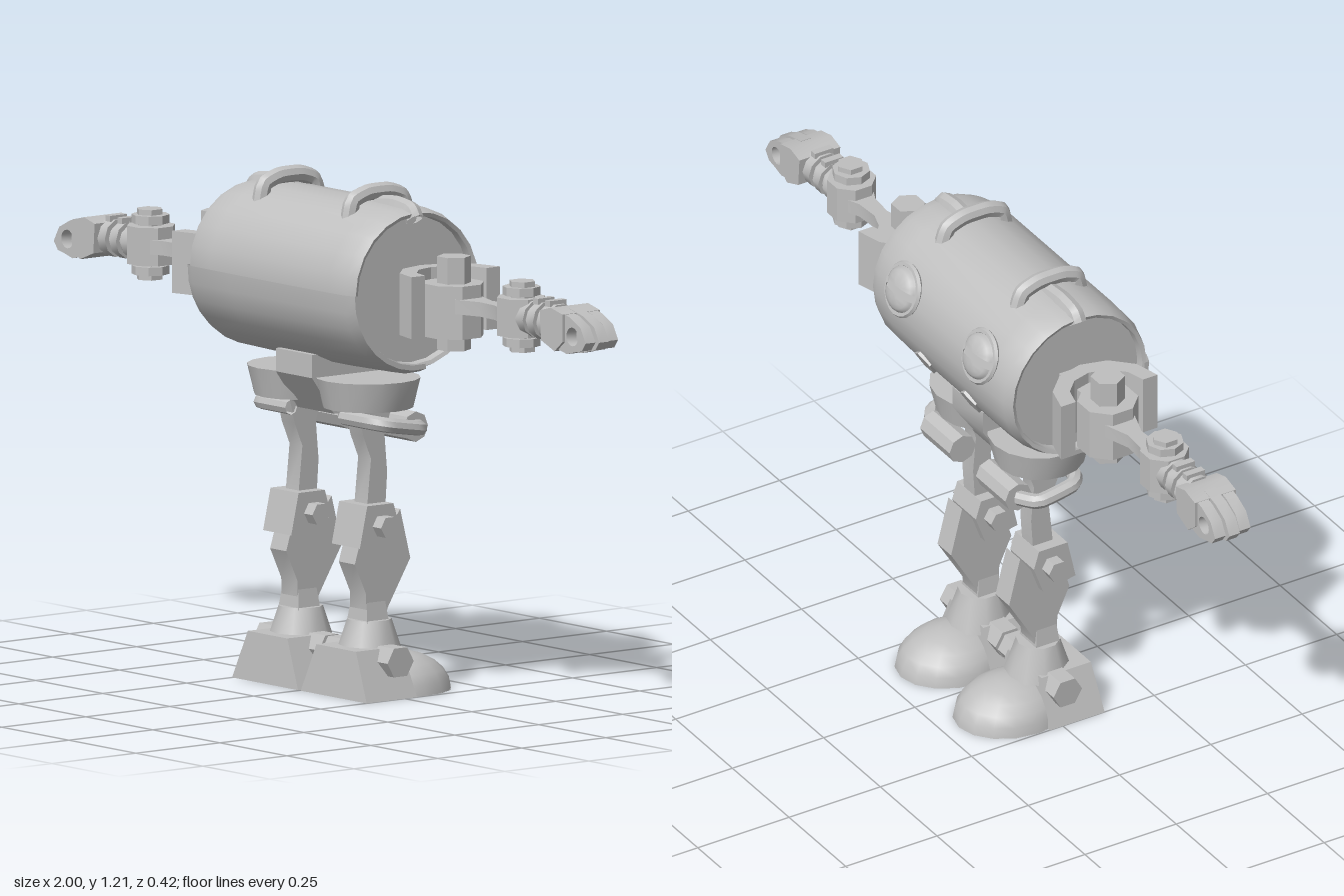
import * as THREE from 'three';
import { toCreasedNormals } from 'three/addons/utils/BufferGeometryUtils.js';

const metal = new THREE.MeshStandardMaterial({ color: 0xbfbfbf });
metal.name = 'grey metal';
metal.side = THREE.DoubleSide;

// Adds a named mesh with creased normals
function add(parent, name, geo, x = 0, y = 0, z = 0, crease = 0.6) {
  const mesh = new THREE.Mesh(toCreasedNormals(geo, crease), metal);
  mesh.name = name;
  mesh.position.set(x, y, z);
  parent.add(mesh);
  return mesh;
}

const box = (w, h, d) => new THREE.BoxGeometry(w, h, d);
const cyl = (rt, rb, h, n) => new THREE.CylinderGeometry(rt, rb, h, n);
const rod = (r, len, n = 6) => cyl(r, r, len, n).rotateZ(Math.PI / 2);
const vec = (pts) => pts.map((p) => new THREE.Vector2(...p));

// Extrudes an outline evenly about its own plane
function slab(shape, depth, curveSegments = 8) {
  return new THREE.ExtrudeGeometry(shape, { depth, bevelEnabled: false, curveSegments }).translate(0, 0, -depth / 2);
}
// Side outline given as [z, y], extruded along x
const sideSlab = (pts, width) => slab(new THREE.Shape(vec(pts)), width).rotateY(-Math.PI / 2);

// Turned part along x from [radius, x] points
const turned = (pts, n) => new THREE.LatheGeometry(vec(pts), n).rotateZ(-Math.PI / 2);

function tube(pts, r, tension = 0.25) {
  const curve = new THREE.CatmullRomCurve3(pts.map((p) => new THREE.Vector3(...p)), false, 'catmullrom', tension);
  return new THREE.TubeGeometry(curve, 24, r, 8);
}

// Box with a smaller top, for tapered blocks
function taper(w, h, d, topW, topD) {
  const g = box(w, h, d), p = g.attributes.position;
  for (let i = 0; i < p.count; i++) {
    if (p.getY(i) > 0) p.setXYZ(i, p.getX(i) * topW, p.getY(i), p.getZ(i) * topD);
  }
  return g;
}

function makeBody() {
  const g = new THREE.Group();
  g.name = 'body';
  g.position.set(0, 0.97, 0.01);
  // Drum with rolled rims and recessed ends
  add(g, 'drum', turned([
    [0, -0.285], [0.172, -0.285], [0.174, -0.305], [0.183, -0.309], [0.193, -0.28], [0.196, -0.22],
    [0.196, 0.22], [0.193, 0.28], [0.183, 0.309], [0.174, 0.305], [0.172, 0.285], [0, 0.285],
  ], 24));

  // Raised front cover, from just below the middle to the top
  const cover = new THREE.LatheGeometry(vec([
    [0.176, -0.312], [0.188, -0.312], [0.198, -0.285], [0.201, -0.14], [0.201, 0.14],
    [0.198, 0.285], [0.188, 0.312], [0.176, 0.312],
  ]), 8, 0, 1.72).rotateZ(-Math.PI / 2);
  // sweep starts at the top and turns toward the front
  add(g, 'frontCover', cover.rotateX(0.0 + coverStart()));

  for (const s of [-1, 1]) {
    // Carrying handle
    add(g, 'handle', tube([
      [s * 0.165, 0.15, 0.09], [s * 0.165, 0.2, 0.078], [s * 0.165, 0.216, 0.035],
      [s * 0.165, 0.216, -0.025], [s * 0.165, 0.2, -0.068], [s * 0.165, 0.15, -0.085],
    ], 0.02));
    // Strap bent over the rim
    add(g, 'rimStrap', tube([
      [s * 0.17, 0.186, 0], [s * 0.235, 0.192, 0], [s * 0.285, 0.185, 0], [s * 0.3, 0.165, 0],
    ], 0.022));

    // Round lamp on the back, tilted upward
    const lamp = new THREE.Group();
    lamp.name = 'lamp';
    lamp.position.set(s * 0.17, 0.066, -0.184);
    lamp.rotation.x = -Math.PI / 2 + 0.35;
    add(lamp, 'lampRing', new THREE.TorusGeometry(0.06, 0.008, 6, 20).rotateX(Math.PI / 2), 0, 0.002, 0);
    add(lamp, 'lampLens', cyl(0.056, 0.056, 0.01, 20), 0, 0.002, 0);
    for (const lid of [0, 1]) {
      const dome = new THREE.SphereGeometry(0.056, 12, 5, lid * Math.PI, Math.PI, 0, Math.PI / 2);
      add(lamp, 'lampLid', dome.scale(1, 0.4, 0.82), 0, 0.006, lid ? -0.009 : 0.009);
    }
    g.add(lamp);

    // Small vent low on the back
    const vent = add(g, 'vent', cyl(0.035, 0.035, 0.008, 5), s * 0.1, -0.1, -0.169);
    vent.rotation.x = -Math.PI / 2 - 0.53;
  }
  return g;
}

// Angle that puts the cover's sweep between the front underside and the top
function coverStart() {
  return -0.02;
}

function makeArm(s) {
  const g = new THREE.Group();
  g.name = s > 0 ? 'leftArm' : 'rightArm';
  g.position.set(0, 0.957, 0.005);
  if (s < 0) g.rotation.y = Math.PI;

  // Shoulder: axle, half-ring yoke and upright pin
  add(g, 'shoulderAxle', box(0.16, 0.09, 0.075), 0.36);
  const yoke = new THREE.Shape();
  yoke.absarc(0, 0, 0.132, Math.PI / 2, Math.PI * 1.5, false);
  yoke.absarc(0, 0, 0.092, Math.PI * 1.5, Math.PI / 2, true);
  add(g, 'shoulderYoke', slab(yoke, 0.146, 3).rotateX(Math.PI / 2), 0.447, 0, 0, 0.3);
  add(g, 'shoulderHub', cyl(0.072, 0.072, 0.125, 8).rotateY(Math.PI / 8), 0.44, -0.015, 0, 0.3);
  add(g, 'shoulderPin', cyl(0.04, 0.04, 0.22, 6).rotateY(Math.PI / 6), 0.44, 0, 0, 0.3);

  // Waisted upper arm
  const upper = new THREE.Shape(vec([
    [0.48, 0.045], [0.56, 0.018], [0.62, 0.022], [0.66, 0.04],
    [0.66, -0.04], [0.62, -0.022], [0.56, -0.018], [0.48, -0.045],
  ]));
  add(g, 'upperArm', slab(upper, 0.034).rotateX(Math.PI / 2));

  // Elbow
  add(g, 'elbow', cyl(0.058, 0.058, 0.09, 8).rotateY(Math.PI / 8), 0.69, 0, 0, 0.3);
  add(g, 'elbowPin', cyl(0.032, 0.032, 0.166, 6), 0.695, 0, 0, 0.3);
  for (const y of [-0.06, 0.06]) add(g, 'elbowCollar', cyl(0.045, 0.045, 0.02, 8), 0.692, y);

  // Ribbed forearm
  add(g, 'forearm', turned([
    [0, 0.7], [0.045, 0.7], [0.043, 0.75], [0.034, 0.75], [0.034, 0.765], [0.045, 0.765],
    [0.045, 0.79], [0.034, 0.79], [0.034, 0.805], [0.046, 0.805], [0.046, 0.84], [0, 0.84],
  ], 10), 0, 0, 0, 0.7);
  for (const x of [0.775, 0.82]) add(g, 'forearmRib', box(0.018, 0.014, 0.05), x, 0.046);

  // Palm and curled fingers
  add(g, 'palm', slab(new THREE.Shape(vec([
    [0.83, 0.035], [0.87, 0.046], [0.915, 0.035], [0.915, -0.03], [0.885, -0.055], [0.835, -0.035],
  ])), 0.112));
  for (let i = -1; i <= 1; i++) {
    const finger = new THREE.Shape(vec([
      [0.89, 0.042], [0.94, 0.03], [0.98, 0.01], [1.0, -0.025], [0.985, -0.045],
      [0.96, -0.05], [0.93, -0.058], [0.895, -0.05],
    ]));
    const hole = new THREE.Path();
    hole.absarc(0.95, -0.015, 0.022, 0, Math.PI * 2, true);
    finger.holes.push(hole);
    add(g, 'finger', slab(finger, 0.029), i ? -0.008 : 0, 0, i * 0.034);
  }
  return g;
}

function makeLeg(s) {
  const g = new THREE.Group();
  g.name = s > 0 ? 'leftLeg' : 'rightLeg';
  g.position.x = s * 0.128;

  // Hip cup and thigh
  add(g, 'hip', cyl(0.123, 0.106, 0.07, 16), 0, 0.71, 0.012);
  add(g, 'thigh', sideSlab([
    [0.065, 0.69], [0.045, 0.61], [0.022, 0.555], [0.035, 0.43], [-0.02, 0.43],
    [-0.026, 0.52], [-0.018, 0.61], [-0.045, 0.69],
  ], 0.048));

  // Exhaust pipe looping round the outside to a rear canister
  add(g, 'pipe', tube([
    [-s * 0.03, 0.65, 0.06], [s * 0.075, 0.65, 0.06], [s * 0.107, 0.645, 0.035],
    [s * 0.107, 0.63, -0.055], [s * 0.06, 0.625, -0.085],
  ], 0.018));
  add(g, 'canister', rod(0.036, 0.13, 8), -s * 0.005, 0.625, -0.083);

  // Knee block with cross bolt
  add(g, 'knee', sideSlab([
    [0.056, 0.45], [-0.022, 0.45], [-0.036, 0.405], [-0.01, 0.335], [0.078, 0.352],
  ], 0.105));
  add(g, 'kneeBolt', rod(0.027, 0.168), 0, 0.4, 0.013, 0.3);

  // Shin with swept-back calf
  add(g, 'shin', sideSlab([
    [0.06, 0.36], [0.075, 0.312], [0.042, 0.24], [0.04, 0.16], [-0.016, 0.16], [-0.022, 0.2],
    [-0.09, 0.312], [-0.06, 0.43], [-0.03, 0.39],
  ], 0.06));
  add(g, 'shinFoot', taper(0.075, 0.06, 0.065, 0.75, 0.8), 0, 0.2, 0.012);

  // Ankle, heel block, rounded toe and ankle bolt
  add(g, 'ankle', cyl(0.052, 0.08, 0.085, 10), 0, 0.133, 0.008);
  add(g, 'heel', taper(0.246, 0.115, 0.15, 0.6, 0.9), 0, 0.0575, 0.039);
  const toe = new THREE.SphereGeometry(1, 16, 6, 0, Math.PI * 2, 0, Math.PI / 2);
  add(g, 'toe', toe.scale(0.12, 0.095, 0.145), 0, 0, -0.064);
  add(g, 'toeSole', new THREE.CircleGeometry(1, 16).rotateX(Math.PI / 2).scale(0.12, 1, 0.145), 0, 0.001, -0.064);
  add(g, 'ankleBolt', rod(0.039, 0.246), 0, 0.087, 0.013, 0.3);
  return g;
}

export function createModel() {
  const model = new THREE.Group();
  model.name = 'walkingRobot';
  model.add(makeBody());
  // Pelvis keel under the drum
  add(model, 'pelvis', sideSlab([
    [0.13, 0.8], [0.13, 0.745], [0.065, 0.655], [-0.045, 0.655], [-0.105, 0.745], [-0.105, 0.8],
  ], 0.135));
  for (const s of [-1, 1]) model.add(makeArm(s), makeLeg(s));
  return model;
}
